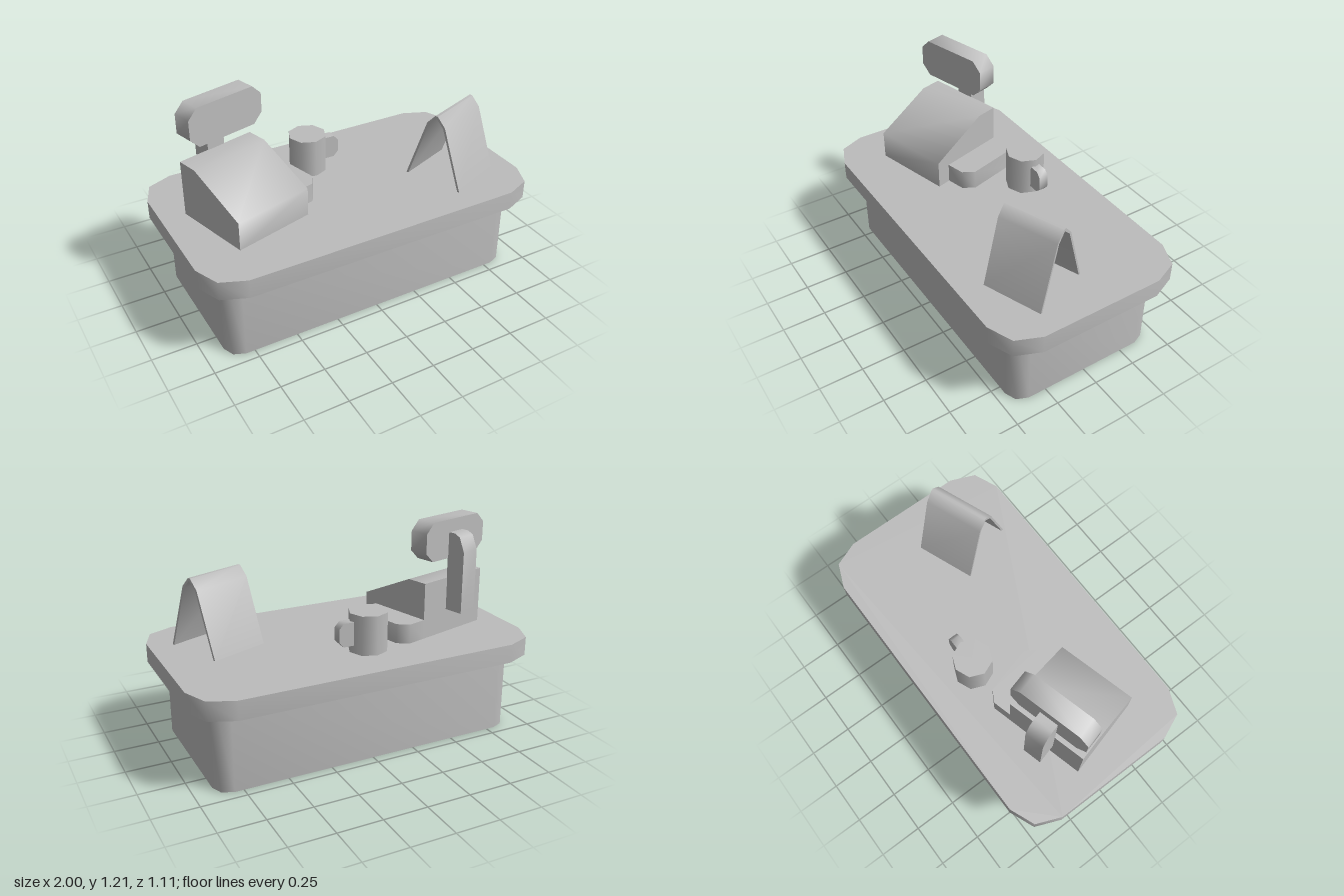
import * as THREE from 'three';
import { toCreasedNormals } from 'three/addons/utils/BufferGeometryUtils.js';

const grey = new THREE.MeshStandardMaterial({ color: 0xbcbcbc });
grey.name = 'grey';

// Smooth over shallow bends, keep square edges sharp
const smooth = (geometry) => toCreasedNormals(geometry, THREE.MathUtils.degToRad(70));

// Outline extruded by depth, centred on its own plane
function slab(points, depth) {
  const shape = new THREE.Shape(points.map(([a, b]) => new THREE.Vector2(a, b)));
  const geometry = new THREE.ExtrudeGeometry(shape, { depth, bevelEnabled: false });
  return geometry.translate(0, 0, -depth / 2);
}

// Outline given in (z, y), extruded along x
const sideSlab = (points, width) => smooth(slab(points, width).rotateY(-Math.PI / 2));

// Outline given in (x, z), standing between two heights
const flatSlab = (points, y0, y1) =>
  smooth(slab(points, y1 - y0).rotateX(Math.PI / 2).translate(0, (y0 + y1) / 2, 0));

// Rectangle with corners rounded in a few steps
function roundedRect(hx, hz, r, steps) {
  const points = [];
  const corners = [[1, 1], [-1, 1], [-1, -1], [1, -1]];
  corners.forEach(([sx, sz], i) => {
    for (let k = 0; k <= steps; k++) {
      const a = (i + k / steps) * Math.PI / 2;
      points.push([sx * (hx - r) + r * Math.cos(a), sz * (hz - r) + r * Math.sin(a)]);
    }
  });
  return points;
}

function add(parent, name, geometry) {
  const mesh = new THREE.Mesh(geometry, grey);
  mesh.name = name;
  parent.add(mesh);
  return mesh;
}

function group(parent, name, x, y, z, degrees) {
  const g = new THREE.Group();
  g.name = name;
  g.position.set(x, y, z);
  g.rotation.y = THREE.MathUtils.degToRad(degrees);
  parent.add(g);
  return g;
}

export function createModel() {
  const model = new THREE.Group();
  model.name = 'checkoutCounter';
  const top = 0.557;

  // Counter
  add(model, 'counterBase', flatSlab(roundedRect(0.89, 0.445, 0.09, 2), 0, 0.45));
  add(model, 'counterTop', flatSlab(roundedRect(1, 0.555, 0.2, 2), 0.45, top));

  // Cash register, turned on the counter
  const register = group(model, 'cashRegister', -0.575, top, 0.025, 15);
  add(register, 'registerBody', sideSlab(
    [[-0.233, 0], [0.233, 0], [0.233, 0.162], [-0.11, 0.322], [-0.233, 0.322]], 0.466));
  add(register, 'sideTray', flatSlab(
    [[0.225, -0.233], [0.34, -0.233], [0.393, -0.18], [0.393, 0.1], [0.34, 0.153], [0.225, 0.153]],
    0, 0.112));
  add(register, 'displayPole', sideSlab(
    [[-0.344, 0.135], [-0.23, 0.135], [-0.23, 0.583], [-0.275, 0.583], [-0.31, 0.567], [-0.344, 0.488]],
    0.108));
  const head = add(register, 'displayHead', smooth(slab(roundedRect(0.233, 0.11, 0.055, 1), 0.114)));
  head.position.set(0, 0.545, -0.176);

  // Cup
  const cup = group(model, 'cup', -0.062, top, -0.25, 0);
  add(cup, 'cupBody', new THREE.CylinderGeometry(0.11, 0.11, 0.222, 8).translate(0, 0.111, 0));
  add(cup, 'cupHandle', smooth(slab(
    [[0.09, 0.045], [0.16, 0.045], [0.187, 0.075], [0.187, 0.148], [0.16, 0.178], [0.09, 0.178]], 0.055)));

  // Folded tent sign
  const sign = group(model, 'tentSign', 0.642, top, 0.181, 21);
  add(sign, 'foldedCard', sideSlab([
    [-0.18, 0], [-0.167, 0], [-0.046, 0.358], [0, 0.404], [0.046, 0.358], [0.167, 0],
    [0.18, 0], [0.058, 0.363], [0.008, 0.418], [-0.008, 0.418], [-0.058, 0.363],
  ], 0.348));

  return model;
}
